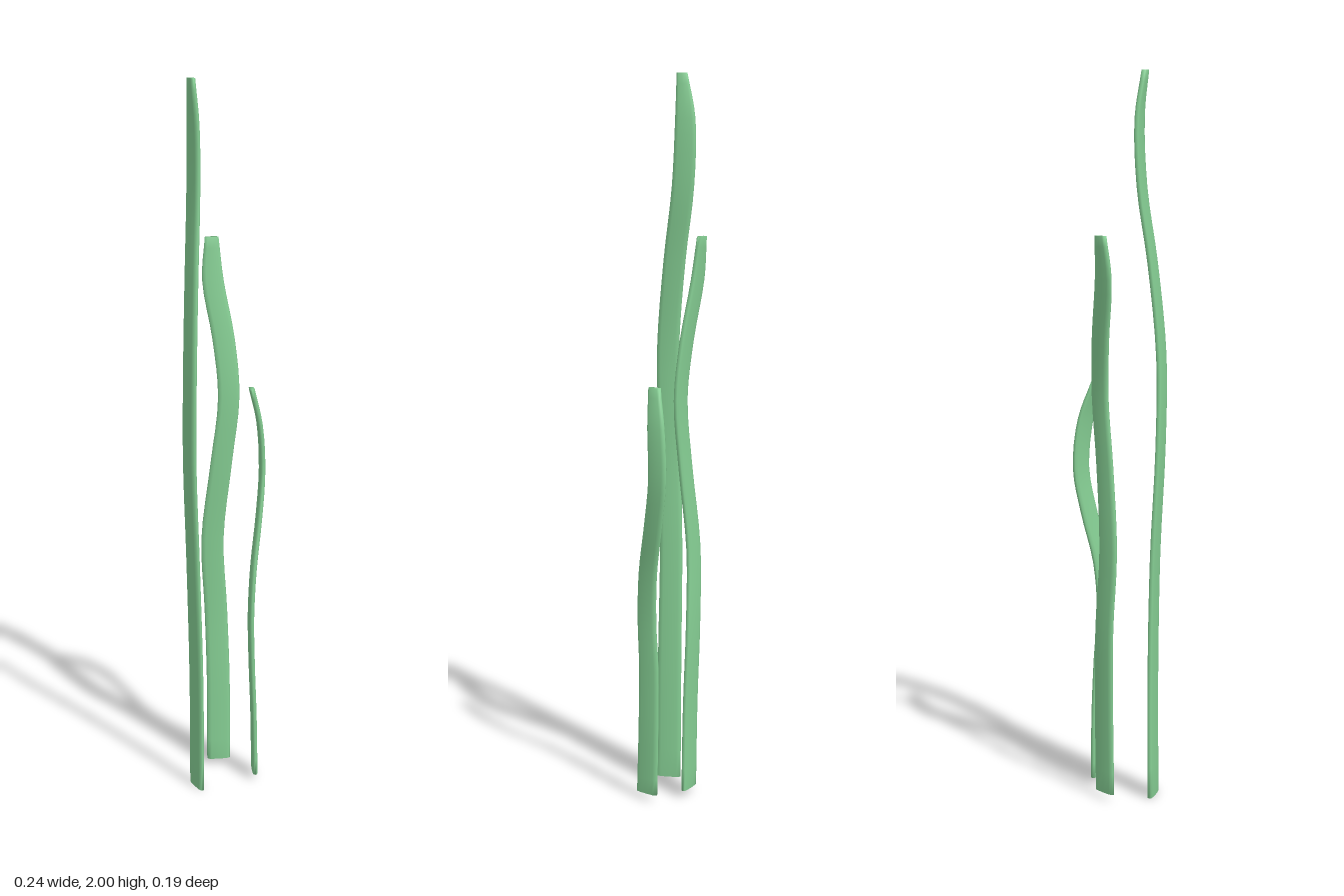
import * as THREE from 'three';

const SIDES = 12, RINGS = 32;

// Sweeps a flat, blunt-edged section, level at every height, along [x, y, z, width] stations.
function makeBlade(name, stations, thickness, turn, material) {
  const path = new THREE.CatmullRomCurve3(stations.map(([x, y, z]) => new THREE.Vector3(x, y, z)));
  const widths = new THREE.CatmullRomCurve3(stations.map(s => new THREE.Vector3(s[3], s[1], 0)));
  const position = [], index = [];
  const blunt = v => Math.sign(v) * Math.abs(v) ** 0.65;

  for (let i = 0; i <= RINGS; i++) {
    const c = path.getPoint(i / RINGS);
    const w = widths.getPoint(i / RINGS).x;
    for (let j = 0; j < SIDES; j++) {
      const a = (j / SIDES) * Math.PI * 2;
      const u = blunt(Math.cos(a)) * w / 2;
      const v = blunt(Math.sin(a)) * thickness / 2;
      position.push(
        c.x + u * Math.cos(turn) - v * Math.sin(turn),
        c.y,
        c.z + u * Math.sin(turn) + v * Math.cos(turn));
    }
  }
  for (let i = 0; i < RINGS; i++) {
    for (let j = 0; j < SIDES; j++) {
      const k = (j + 1) % SIDES;
      const a = i * SIDES + j, b = i * SIDES + k;
      index.push(a, a + SIDES, b, b, a + SIDES, b + SIDES);
    }
  }
  // Closed base and blunt tip
  const top = RINGS * SIDES;
  for (let j = 1; j < SIDES - 1; j++) {
    index.push(0, j, j + 1, top, top + j + 1, top + j);
  }

  const geometry = new THREE.BufferGeometry();
  geometry.setAttribute('position', new THREE.Float32BufferAttribute(position, 3));
  geometry.setIndex(index);
  geometry.computeVertexNormals();
  const mesh = new THREE.Mesh(geometry, material);
  mesh.name = name;
  return mesh;
}

export function createModel() {
  const group = new THREE.Group();
  group.name = 'seaweed';
  const green = new THREE.MeshStandardMaterial({ color: 0x86cf94 });

  group.add(
    // Tall blade, nearly edge-on to the front
    makeBlade('tallBlade', [
      [-0.089, 0, 0.054, 0.07], [-0.089, 0.35, 0.051, 0.068], [-0.096, 0.7, 0.05, 0.064],
      [-0.105, 1.0, 0.06, 0.062], [-0.103, 1.25, 0.064, 0.062], [-0.093, 1.5, 0.038, 0.061],
      [-0.082, 1.7, 0.006, 0.061], [-0.08, 1.88, -0.002, 0.055], [-0.087, 2.0, 0.012, 0.029],
    ], 0.016, 1.22, green),
    // Middle blade, broad side to the front
    makeBlade('middleBlade', [
      [-0.006, 0.02, -0.058, 0.068], [-0.006, 0.27, -0.062, 0.067], [-0.012, 0.5, -0.067, 0.065],
      [-0.022, 0.72, -0.062, 0.063], [0.001, 0.95, -0.049, 0.06], [0.021, 1.14, -0.045, 0.059],
      [0.009, 1.3, -0.057, 0.061], [-0.017, 1.46, -0.075, 0.058], [-0.018, 1.575, -0.087, 0.037],
    ], 0.016, 0.06, green),
    // Short blade, edge-on to the front
    makeBlade('shortBlade', [
      [0.085, 0.02, 0.026, 0.069], [0.082, 0.2, 0.023, 0.067], [0.075, 0.38, 0.025, 0.065],
      [0.071, 0.52, 0.033, 0.062], [0.079, 0.66, 0.025, 0.06], [0.099, 0.8, -0.003, 0.058],
      [0.111, 0.93, -0.023, 0.057], [0.101, 1.07, -0.014, 0.055], [0.075, 1.175, 0.005, 0.037],
    ], 0.016, 1.67, green),
  );
  return group;
}
